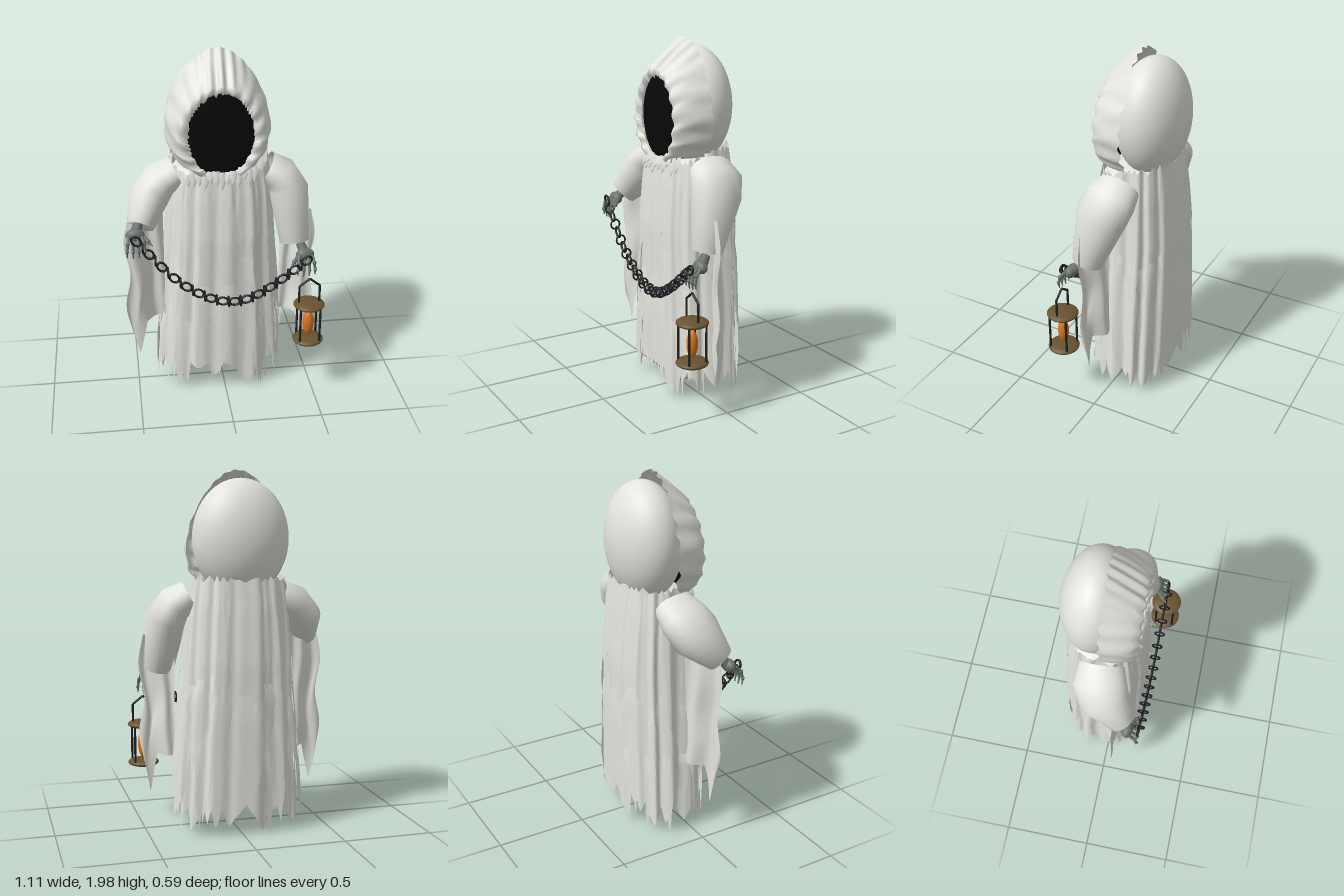
import * as THREE from 'three';
import { mergeGeometries } from 'three/addons/utils/BufferGeometryUtils.js';

const mat = (name, color, side = THREE.FrontSide) => {
  const m = new THREE.MeshStandardMaterial({ color, side });
  m.name = name;
  return m;
};
const lerp = THREE.MathUtils.lerp;

// Seeded random numbers
let seed = 7;
const rand = () => ((seed = (seed * 16807) % 2147483647) / 2147483647);

// Smooth surface from a rule fn(u, v) -> [x, y, z]; closed joins the u ends
function sheet(nu, nv, fn, closed = false) {
  const pos = [], idx = [], w = closed ? nu : nu + 1;
  for (let j = 0; j <= nv; j++)
    for (let i = 0; i < w; i++) pos.push(...fn(i / nu, j / nv));
  for (let j = 0; j < nv; j++)
    for (let i = 0; i < nu; i++) {
      const a = j * w + i, b = j * w + ((i + 1) % w), c = a + w, d = b + w;
      idx.push(a, c, b, b, c, d);
    }
  const g = new THREE.BufferGeometry();
  g.setAttribute('position', new THREE.Float32BufferAttribute(pos, 3));
  g.setIndex(idx);
  g.computeVertexNormals();
  return g;
}

// Tapered rod between two points
function rod(a, b, r0, r1 = r0) {
  const p = new THREE.Vector3(...a), d = new THREE.Vector3(...b).sub(p);
  const g = new THREE.CylinderGeometry(r1, r0, d.length(), 8);
  g.applyQuaternion(new THREE.Quaternion().setFromUnitVectors(new THREE.Vector3(0, 1, 0), d.clone().normalize()));
  return g.translate(p.x + d.x / 2, p.y + d.y / 2, p.z + d.z / 2);
}
const ball = (x, y, z, rx, ry, rz, n = 16) =>
  new THREE.SphereGeometry(1, n * 2, n).scale(rx, ry, rz).translate(x, y, z);

// Point on the robe: angle 0 faces the front
function robePoint(a, y, k = 1) {
  const s = Math.sin(a), c = Math.cos(a), sq = (t) => Math.sign(t) * Math.abs(t) ** 0.8;
  const down = 1.42 - y;
  const fold = 1 + (0.022 + 0.012 * down) * Math.sin(14 * a + Math.sin(3 * a) + down * 0.6) + 0.008 * Math.sin(29 * a + down);
  const rx = (0.265 + 0.07 * down) * k * fold, rz = (0.188 + 0.035 * Math.min(1, down * 2.2)) * k * fold;
  return [-0.012 + rx * sq(s), y, -0.055 + rz * sq(c)];
}

// Row of irregular torn points around a hem
function torn(n, lo) {
  const d = Array.from({ length: n }, () => lerp(lo, 1, rand() ** 1.3));
  return (u) => {
    const t = n * (u + 0.012 * Math.sin(u * Math.PI * 14)) + n;
    return d[Math.floor(t) % n] * (1 - Math.abs(2 * (t - Math.floor(t)) - 1)) ** 0.7;
  };
}

export function createModel() {
  const model = new THREE.Group();
  const cloth = mat('pale cloth', 0xe2e3dc, THREE.DoubleSide);
  const dark = mat('black void', 0x080808);
  const iron = mat('dark iron', 0x202124);
  const bone = mat('grey bone', 0x6c746e);
  const wood = mat('brown wood', 0x675330);
  const glow = mat('orange glow', 0xd9751c);
  const add = (name, geo, m, parent = model) => {
    const mesh = new THREE.Mesh(Array.isArray(geo) ? mergeGeometries(geo) : geo, m);
    mesh.name = name;
    parent.add(mesh);
    return mesh;
  };

  // Robe: three nested layers with torn hems, the collar lower in front
  [[0.96, 0.19, 0.2, 24], [0.99, 0.6, 0.42, 34], [1.02, 1.0, 0.45, 42]].forEach(([k, hem, amp, n], i) => {
    const tear = torn(n, 0.12), collar = torn(28, 0.2);
    add('robeLayer' + (i + 1), sheet(n * 8, 16, (u, v) => {
      const a = u * Math.PI * 2, top = 1.4 + 0.04 * collar(u) - 0.08 * Math.max(0, Math.cos(a)) ** 0.5;
      return robePoint(a, lerp(top, hem - amp * tear(u), v), lerp(0.98, k, Math.min(1, v * 3)));
    }, true), cloth);
  });
  add('shoulders', sheet(48, 4, (u, v) => {
    const p = robePoint(u * Math.PI * 2, 1.33, Math.cos(v * Math.PI / 2) * 0.94);
    p[1] += 0.06 * Math.sin(v * Math.PI / 2);
    return p;
  }, true), cloth);

  // Loose tatters over the robe
  const tatters = [];
  for (let i = 0; i < 64; i++) {
    const a0 = (i + rand() * 0.8) / 64 * Math.PI * 2, top = 0.45 + rand() * 0.5;
    const len = Math.min(0.25 + rand() * 0.4, top - 0.02), w = 0.05 + rand() * 0.06, sway = (rand() - 0.5) * 0.12;
    tatters.push(sheet(4, 8, (u, v) => {
      const wide = w * Math.min(1, 2.4 * (1 - v)) * (1 + 0.2 * Math.sin(v * 14 + i));
      return robePoint(a0 + (u - 0.5) * wide * 2 + sway * v * v, top - len * v, 0.99 + 0.04 * Math.sin(Math.min(1, v * 3) * 1.57));
    }));
  }
  add('robeTatters', tatters, cloth);

  // Hood front: egg-shaped rim drawn in to the face opening.
  // Stations are [z, blend at the sides, blend at the crown]
  const stations = [[-0.045, 0, 0], [0.01, 0.05, 0.2], [0.06, 0.14, 0.42], [0.105, 0.28, 0.62], [0.14, 0.5, 0.8], [0.148, 0.78, 0.92], [0.128, 1, 1]];
  const jag = torn(44, 0.2);
  add('hoodFront', sheet(264, 6, (u, v) => {
    const a = u * Math.PI * 2, s = Math.sin(a), c = Math.cos(a);
    const j = Math.round(v * 6), [z, side, crown] = stations[j];
    const k = lerp(side, crown, Math.max(0, c));
    const wave = 1 + 0.017 * Math.sin(19 * a + 2 * Math.sin(2 * a) + v * 2) * (0.5 + Math.sin(v * Math.PI));
    const edge = j === 6 ? 1.02 - 0.09 * jag(u) : 1;
    const x = lerp(0.278 * s * (1 - 0.26 * c), 0.176 * s, k) * wave * edge;
    const y = lerp(1.65, 1.57, k) + lerp(0.345, 0.224, k) * c * wave * edge;
    const ripple = j ? 0.01 * Math.sin(17 * a + 1) * Math.sin(v * Math.PI) : 0.008 * Math.sin(24 * a);
    return [-0.022 + x, y, z + ripple];
  }, true), cloth);
  add('hoodBack', ball(-0.025, 1.63, -0.1, 0.267, 0.322, 0.19, 28), cloth);
  add('faceVoid', ball(-0.022, 1.57, 0.1, 0.2, 0.24, 0.022), dark);

  // Ragged fringe under the face
  const fringe = [];
  for (let i = 0; i < 13; i++) {
    const x = -0.2 + i * 0.03, top = 1.345 + 0.04 * rand(), len = 0.05 + 0.05 * rand();
    fringe.push(sheet(2, 4, (u, v) => [
      x + (u - 0.5) * 0.045 * Math.sin(Math.PI * (0.25 + 0.75 * v)), top - len * v,
      0.14 + 0.02 * v - 1.3 * (x + 0.02) ** 2 + 0.01 * Math.sin(u * Math.PI)]));
  }
  add('hoodFringe', fringe, cloth);

  // Sleeve: loft of oval sections [x, y, z, half width, half depth]
  function sleeve(name, st) {
    const P = st.map((s) => new THREE.Vector3(s[0], s[1], s[2])), n = st.length - 1;
    add(name, sheet(28, n, (u, v) => {
      const j = Math.round(v * n), a = u * Math.PI * 2;
      const T = P[Math.min(n, j + 1)].clone().sub(P[Math.max(0, j - 1)]).normalize();
      const U = new THREE.Vector3(0, 0, 1).cross(T).normalize(), V = T.clone().cross(U);
      return P[j].clone().addScaledVector(U, Math.cos(a) * st[j][3]).addScaledVector(V, Math.sin(a) * st[j][4]).toArray();
    }, true), cloth);
  }
  sleeve('leftSleeve', [[0.25, 1.32, -0.04, 0.085, 0.12], [0.325, 1.28, -0.03, 0.098, 0.145], [0.37, 1.2, 0, 0.11, 0.143],
    [0.398, 0.91, 0.075, 0.083, 0.085], [0.398, 0.92, 0.075, 0.001, 0.001]]);
  sleeve('rightSleeve', [[-0.25, 1.32, -0.04, 0.085, 0.12], [-0.34, 1.275, -0.035, 0.1, 0.145], [-0.402, 1.2, 0, 0.11, 0.143],
    [-0.462, 1.065, 0.11, 0.075, 0.078], [-0.46, 1.075, 0.1, 0.001, 0.001]]);

  // Cloth hanging from each sleeve to one long outer point
  for (const side of [1, -1]) {
    const out = side > 0 ? 0.5 : 0.54;
    add(side > 0 ? 'leftSleeveDrape' : 'rightSleeveDrape', sheet(24, 14, (u, v) => {
      const tip = Math.max(0, 1 - Math.abs(u - 0.78) / 0.24);
      const y = lerp(1.1, 0.43 - 0.22 * tip, v);
      const x = lerp(0.33, out, u) + 0.016 * Math.sin(v * 11 - 1) * u;
      return [side * x, y, -0.03 + 0.11 * u + 0.018 * Math.sin(u * 10 + v * 2)];
    }), cloth);
  }

  // Skeletal hands: palm, four jointed fingers and an inward thumb
  function hand(name, x, y, side) {
    const g = [ball(x, y, 0.145, 0.052, 0.036, 0.032, 10), rod([x - side * 0.02, y + 0.05, 0.1], [x, y, 0.14], 0.026, 0.03)];
    const joint = (p, r) => g.push(ball(...p, r, r, r, 6));
    for (let i = 0; i < 4; i++) {
      const o = i - 1.5, drop = 0.115 - 0.008 * Math.abs(i - 1.3);
      const a = [x + o * 0.024, y, 0.165], b = [x + o * 0.029, y - 0.03, 0.195], c = [x + o * 0.032, y - 0.07, 0.205];
      g.push(rod(a, b, 0.01, 0.008), rod(b, c, 0.009, 0.007), rod(c, [c[0], y - drop, 0.2], 0.007, 0.003));
      joint(b, 0.012);
      joint(c, 0.01);
    }
    const t0 = [x - side * 0.035, y - 0.005, 0.15], t1 = [x - side * 0.068, y - 0.025, 0.185];
    g.push(rod(t0, t1, 0.014, 0.01), rod(t1, [x - side * 0.09, y - 0.04, 0.21], 0.01, 0.003));
    joint(t1, 0.013);
    add(name, g, bone);
  }
  hand('leftHand', 0.447, 0.855, 1);
  hand('rightHand', -0.492, 1.03, -1);

  // Chain: oval links facing front, joined by upright round links facing sideways
  const curve = new THREE.SplineCurve([[-0.49, 1.02], [-0.42, 0.935], [-0.29, 0.785], [-0.155, 0.68], [-0.02, 0.622],
    [0.11, 0.625], [0.24, 0.69], [0.375, 0.79], [0.445, 0.845]].map((p) => new THREE.Vector2(...p)));
  const links = [];
  for (let i = 0; i <= 28; i++) {
    const x = -0.49 + (0.935 * i) / 28;
    // Find the curve point at this x, so that links are evenly spaced across
    let lo = 0, hi = 1;
    for (let n = 0; n < 20; n++) {
      const mid = (lo + hi) / 2;
      if (curve.getPoint(mid).x < x) lo = mid; else hi = mid;
    }
    const d = curve.getTangent(lo);
    const g = i % 2
      ? new THREE.TorusGeometry(0.028, 0.005, 8, 20).rotateY(Math.PI / 2)
      : new THREE.TorusGeometry(0.025, 0.0065, 8, 20).scale(1.2, 0.9, 1).rotateZ(Math.atan2(d.y, d.x));
    links.push(g.translate(x, curve.getPoint(lo).y, 0.205));
  }
  add('chain', links, iron);

  // Lantern: two wooden discs, four posts, a bent handle and a glowing core
  const lantern = new THREE.Group();
  lantern.name = 'lantern';
  lantern.position.set(0.468, 0, 0.205);
  model.add(lantern);
  for (const [name, y] of [['lanternTop', 0.568], ['lanternBase', 0.345]])
    add(name, ball(0, y, 0, 0.088, 0.024, 0.088), wood, lantern);
  const posts = [];
  for (const x of [-1, 1]) for (const z of [-1, 1])
    posts.push(rod([x * 0.056, 0.345, z * 0.052], [x * 0.056, 0.568, z * 0.052], 0.0065));
  add('lanternPosts', posts, iron, lantern);
  const bend = [[-0.058, 0.57], [-0.058, 0.685], [0, 0.73], [0.058, 0.685], [0.058, 0.57]];
  add('lanternHandle', bend.slice(1).map((p, i) => rod([...bend[i], 0], [...p, 0], 0.0065)), iron, lantern);
  add('lanternGlow', ball(0, 0.45, 0, 0.031, 0.076, 0.031), glow, lantern);

  return model;
}
